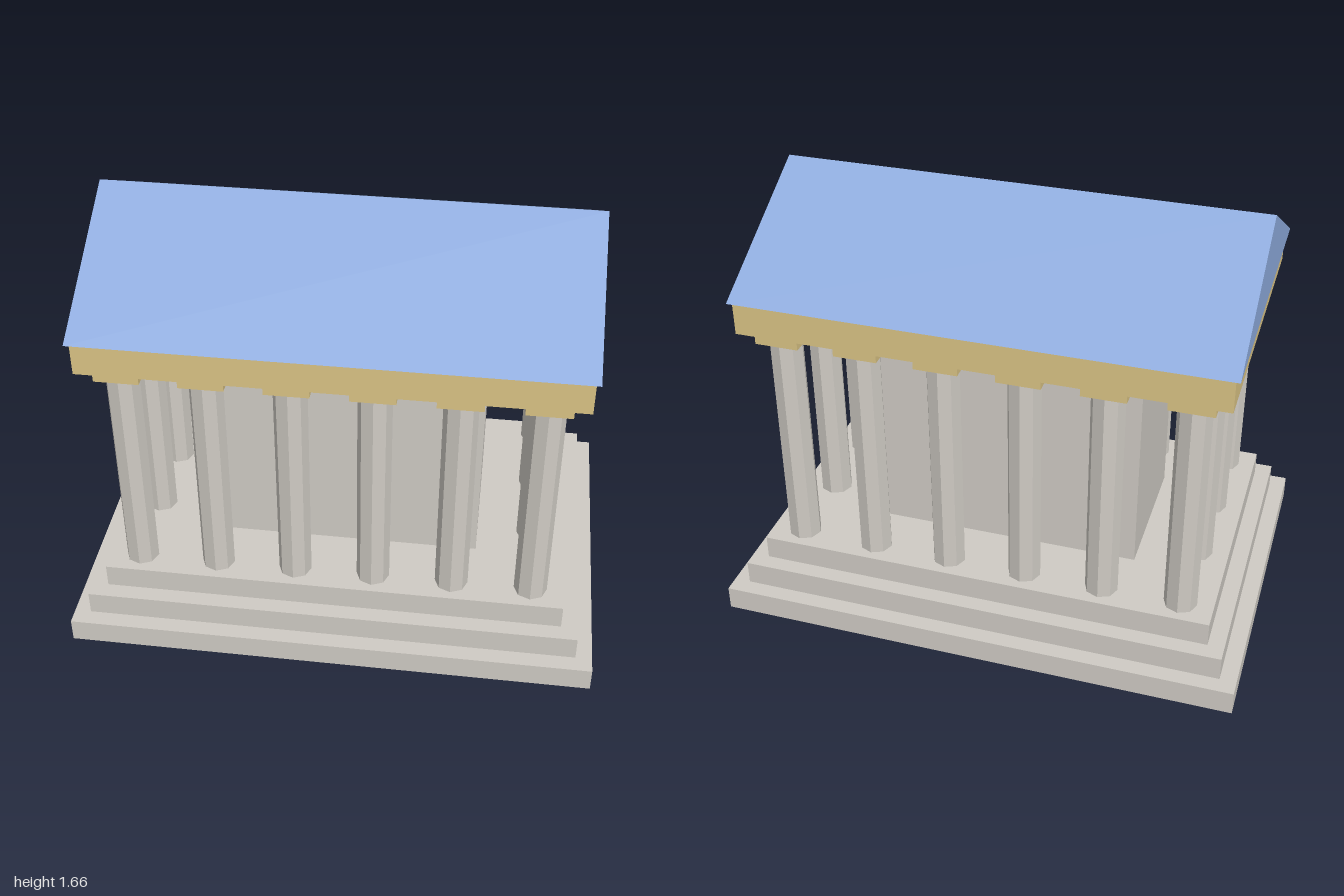
import * as THREE from 'three';

export function createModel() {
  const temple = new THREE.Group();
  temple.name = 'temple';

  const paint = (name, color) => {
    const m = new THREE.MeshStandardMaterial({ color });
    m.name = name;
    return m;
  };
  const stone = paint('paleStone', 0xcfcbc4);
  const gold = paint('sandGold', 0xdbc485);
  const blue = paint('roofBlue', 0x8eabdd);
  stone.flatShading = true;

  const add = (name, geometry, material, x, y, z, parent = temple) => {
    const mesh = new THREE.Mesh(geometry, material);
    mesh.name = name;
    mesh.position.set(x, y, z);
    parent.add(mesh);
    return mesh;
  };
  // Box given by half width, half depth, bottom and top
  const block = (name, hx, hz, y0, y1, material) =>
    add(name, new THREE.BoxGeometry(hx * 2, y1 - y0, hz * 2), material, 0, (y0 + y1) / 2, 0);

  const floorY = 0.281, shaftTop = 1.16, capitalTop = 1.207, eavesY = 1.333, ridgeY = 1.656;

  // Stepped base
  for (let i = 0; i < 3; i++) {
    const inset = i * 0.0625;
    block('baseStep' + (i + 1), 1 - inset, 0.687 - inset, (i * floorY) / 3, ((i + 1) * floorY) / 3, stone);
  }

  // Inner chamber
  block('innerChamber', 0.533, 0.279, floorY, shaftTop, stone);

  // Ring of eight-sided columns with square capitals
  const shaft = new THREE.CylinderGeometry(0.0625, 0.0625, shaftTop - floorY, 8);
  const capital = new THREE.BoxGeometry(0.163, capitalTop - shaftTop, 0.163);
  const nx = 6, nz = 4, stepX = 0.3, stepZ = 0.311;
  for (let i = 0; i < nx; i++) {
    for (let k = 0; k < nz; k++) {
      if (i > 0 && i < nx - 1 && k > 0 && k < nz - 1) continue;
      const column = new THREE.Group();
      column.name = 'column';
      column.position.set((i - (nx - 1) / 2) * stepX, 0, (k - (nz - 1) / 2) * stepZ);
      add('columnShaft', shaft, stone, 0, (floorY + shaftTop) / 2, 0, column);
      add('columnCapital', capital, gold, 0, (shaftTop + capitalTop) / 2, 0, column);
      temple.add(column);
    }
  }

  // Beam resting on the capitals
  block('entablature', 0.89, 0.576, capitalTop, eavesY, gold);

  // Gabled roof, its ridge running along x
  const hx = 0.906, hz = 0.59;
  const gable = new THREE.Shape();
  gable.moveTo(-hz, 0);
  gable.lineTo(hz, 0);
  gable.lineTo(0, ridgeY - eavesY);
  gable.closePath();
  const roof = new THREE.ExtrudeGeometry(gable, { depth: hx * 2, bevelEnabled: false });
  roof.translate(0, 0, -hx);
  roof.rotateY(Math.PI / 2);
  add('roof', roof, blue, 0, eavesY, 0);

  return temple;
}
